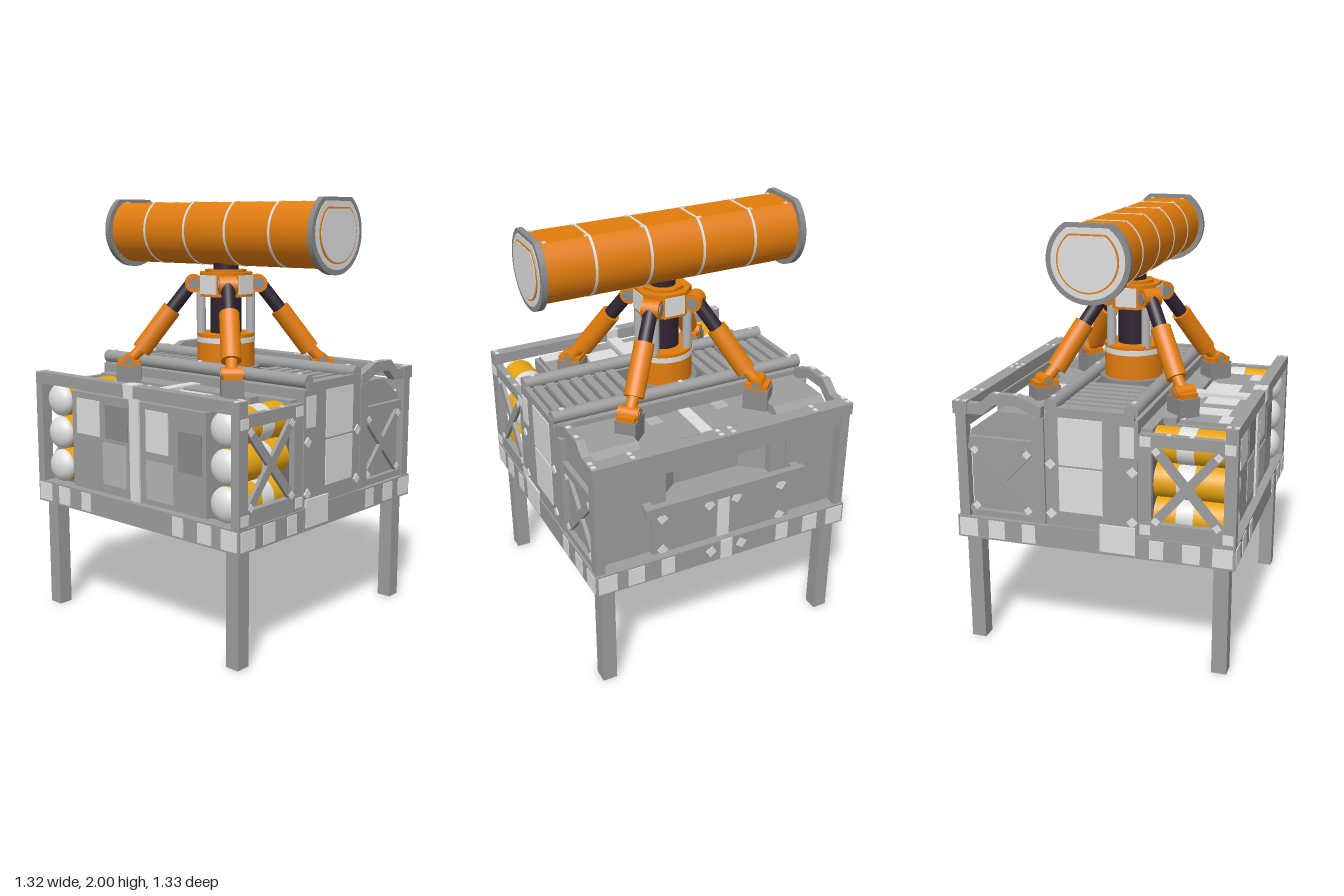
import * as THREE from 'three';
import { toCreasedNormals } from 'three/addons/utils/BufferGeometryUtils.js';

const material = (name, color) => {
  const m = new THREE.MeshStandardMaterial({ color });
  m.name = name;
  return m;
};

export function createModel() {
  const root = new THREE.Group();
  root.name = 'tubeTurretPlatform';
  const grey = material('grey', 0x9d9d9d);
  const midGrey = material('midGrey', 0x8a8a8a);
  const darkGrey = material('darkGrey', 0x6e6e6e);
  const paleGrey = material('paleGrey', 0xb4b4b4);
  const light = material('lightGrey', 0xdedede);
  const orange = material('orange', 0xe27c0c);
  const yellow = material('yellow', 0xe8a512);
  const black = material('nearBlack', 0x2e2430);

  const add = (name, geometry, mat, parent = root) => {
    const mesh = new THREE.Mesh(geometry, mat);
    mesh.name = name;
    parent.add(mesh);
    return mesh;
  };
  // Box from its limits on each axis
  const box = (name, mat, x0, x1, y0, y1, z0, z1) => {
    const mesh = add(name, new THREE.BoxGeometry(Math.abs(x1 - x0), y1 - y0, Math.abs(z1 - z0)), mat);
    mesh.position.set((x0 + x1) / 2, (y0 + y1) / 2, (z0 + z1) / 2);
    return mesh;
  };
  // Cylinder between two points
  const rod = (name, mat, a, b, r, sides = 24) => {
    const dir = b.clone().sub(a);
    const mesh = add(name, new THREE.CylinderGeometry(r, r, dir.length(), sides), mat);
    mesh.position.copy(a).lerp(b, 0.5);
    mesh.quaternion.setFromUnitVectors(new THREE.Vector3(0, 1, 0), dir.normalize());
    return mesh;
  };
  const V = (x, y, z) => new THREE.Vector3(x, y, z);
  const polygon = pts => new THREE.Shape(pts.map(p => new THREE.Vector2(...p)));
  const extrude = (shape, depth) => toCreasedNormals(
    new THREE.ExtrudeGeometry(shape, { depth, bevelEnabled: false, curveSegments: 48 }), 0.5);
  // Profile in x, y extruded from z0 to z1
  const profile = (name, mat, shape, z0, z1) => {
    const mesh = add(name, extrude(shape, z1 - z0), mat);
    mesh.position.z = z0;
    return mesh;
  };

  // Base slab: rim, floor and shallow underside panels
  for (const s of [-1, 1]) {
    box('baseRim', grey, s * 0.585, s * 0.655, 0.53, 0.635, -0.655, 0.655);
    box('baseRim', grey, -0.585, 0.585, 0.53, 0.635, s * 0.585, s * 0.655);
    for (const t of [-1, 1]) {
      box('leg', grey, s * 0.555, s * 0.625, 0, 0.54, t * 0.555, t * 0.625);
      box('undersidePanel', paleGrey, s * 0.035, s * 0.55, 0.54, 0.56, t * 0.035, t * 0.55);
      box('undersidePlate', light, s * 0.12, s * 0.47, 0.535, 0.542, t * 0.12, t * 0.47);
    }
    // Light patches along the rim
    for (const t of [-1, 1]) for (const [a, b] of [[0.27, 0.335], [0.42, 0.5], [0.555, 0.645]]) {
      box('rimPatch', light, s * a, s * b, 0.54, 0.627, t * 0.652, t * 0.659);
      box('rimPatch', light, s * 0.652, s * 0.659, 0.54, 0.627, t * a, t * b);
    }
  }
  box('floor', darkGrey, -0.585, 0.585, 0.55, 0.635, -0.585, 0.585);
  box('undersideBeam', midGrey, -0.02, 0.02, 0.536, 0.56, -0.585, 0.585);
  box('undersideBeam', midGrey, -0.585, 0.585, 0.536, 0.56, -0.02, 0.02);

  // Central spine with slatted deck and round side rails
  box('spine', grey, -0.215, 0.215, 0.6, 1.17, -0.65, 0.65);
  box('deckPanel', darkGrey, -0.16, 0.16, 1.165, 1.174, -0.62, 0.62);
  for (const s of [-1, 1]) {
    box('spineFoot', grey, -0.215, 0.215, 0.532, 0.64, s * 0.6, s * 0.656);
    rod('deckRail', grey, V(s * 0.185, 1.205, -0.65), V(s * 0.185, 1.205, 0.65), 0.031, 16);
    for (let i = 0; i < 7; i++) box('deckSlat', grey, -0.16, 0.16, 1.17, 1.192, s * (0.19 + i * 0.063), s * (0.23 + i * 0.063));
    box('deckEndBar', grey, -0.2, 0.2, 1.165, 1.2, s * 0.63, s * 0.655);
    for (const [x0, x1, y0, y1, z] of [[-0.2, -0.135, 1.0, 1.14, 0.655], [-0.055, 0.15, 0.935, 1.155, 0.655], [-0.055, 0.15, 0.715, 0.925, 0.655], [-0.205, -0.04, 0.545, 0.675, 0.66]])
      box('spinePlate', light, x0, x1, y0, y1, s * (z - 0.009), s * z);
    for (const [x, y] of [[-0.19, 0.935], [0.19, 0.935], [-0.19, 0.7], [0.19, 0.7]]) {
      const bolt = box('spineBolt', light, x - 0.018, x + 0.018, y - 0.018, y + 0.018, s * 0.648, s * 0.656);
      bolt.rotation.z = Math.PI / 4;
    }
    for (const z of [-0.6, 0, 0.6]) box('railBolt', light, s * 0.185 - 0.01, s * 0.185 + 0.01, 1.232, 1.239, z - 0.01, z + 0.01);
  }

  // Diagonal cross brace with bolts at its ends, on the front or back face
  const brace = (x0, x1, y0, y1, z) => {
    const cx = (x0 + x1) / 2, cy = (y0 + y1) / 2;
    const angle = Math.atan2(y1 - y0, x1 - x0), length = Math.hypot(x1 - x0, y1 - y0);
    for (const t of [-1, 1]) {
      const bar = add('crossBrace', new THREE.BoxGeometry(length, 0.04, 0.018), grey);
      bar.position.set(cx, cy, z);
      bar.rotation.z = t * angle;
      for (const u of [-1, 1]) {
        const bolt = add('braceBolt', new THREE.BoxGeometry(0.03, 0.03, 0.024), light);
        bolt.position.set(cx + u * (x1 - x0) * 0.41, cy + t * u * (y1 - y0) * 0.41, z);
        bolt.rotation.z = t * angle;
      }
    }
  };

  // Right bay: storage box between two racks of gas bottles
  box('bayBox', grey, -0.615, -0.21, 0.6, 1.1, -0.435, 0.435);
  box('bayLid', grey, -0.59, -0.34, 1.09, 1.118, -0.42, 0.42);
  box('bayRidge', grey, -0.33, -0.22, 1.09, 1.128, -0.435, 0.435);
  box('rackRidge', grey, -0.27, -0.22, 1.09, 1.128, -0.615, 0.615);
  box('bayTopRail', grey, -0.655, -0.6, 1.12, 1.175, -0.655, 0.655);
  box('strapTop', light, -0.6, -0.21, 1.115, 1.136, -0.03, 0.03);
  box('strapRail', light, -0.66, -0.595, 1.115, 1.18, -0.03, 0.03);
  box('strapSide', light, -0.625, -0.61, 0.635, 1.12, -0.03, 0.03);
  for (const [x0, x1, z0, z1] of [[-0.588, -0.515, -0.415, -0.32], [-0.54, -0.385, -0.31, -0.21], [-0.54, -0.385, -0.14, -0.04], [-0.505, -0.345, 0.05, 0.205], [-0.588, -0.515, 0.315, 0.415]])
    box('lidPatch', light, x0, x1, 1.115, 1.122, z0, z1);
  for (const z of [-0.4, -0.3, -0.17, -0.05, 0.04, 0.22, 0.3, 0.4]) box('lidBolt', light, -0.365, -0.345, 1.115, 1.122, z - 0.01, z + 0.01);
  for (const [y0, y1, z0, z1, m] of [[0.9, 1.07, -0.4, -0.24, light], [0.68, 0.88, -0.22, -0.06, paleGrey], [0.9, 1.06, -0.2, -0.05, midGrey], [0.88, 1.07, 0.07, 0.21, light], [0.66, 0.84, 0.07, 0.24, paleGrey], [0.82, 1.0, 0.27, 0.41, midGrey]])
    box('bayPatch', m, -0.619, -0.612, y0, y1, z0, z1);
  for (const s of [-1, 1]) {
    for (const y of [0.715, 0.878, 1.041]) {
      const z = s * 0.535;
      rod('gasBottle', yellow, V(-0.595, y, z), V(-0.27, y, z), 0.08, 32);
      rod('bottleBand', light, V(-0.455, y, z), V(-0.378, y, z), 0.0825, 32);
      const dome = add('bottleDome', new THREE.SphereGeometry(0.08, 28, 14), light);
      dome.scale.x = 0.65;
      dome.position.set(-0.595, y, z);
    }
    box('rackBack', darkGrey, -0.275, -0.21, 0.62, 1.1, s * 0.43, s * 0.615);
    box('rackPost', grey, -0.655, -0.6, 0.63, 1.125, s * 0.61, s * 0.655);
    box('rackPost', grey, -0.275, -0.215, 0.63, 1.11, s * 0.61, s * 0.645);
    box('rackTopBar', grey, -0.6, -0.22, 1.06, 1.115, s * 0.615, s * 0.648);
    box('rackBottomBar', grey, -0.6, -0.22, 0.635, 0.705, s * 0.615, s * 0.648);
    for (const [x, z] of [[-0.622, 0.659], [-0.248, 0.652]]) for (const y of [0.65, 1.06])
      box('postPatch', light, x - 0.024, x + 0.024, y, y + 0.045, s * (z - 0.009), s * z);
    brace(-0.6, -0.265, 0.68, 1.075, s * 0.637);
  }

  // Left bay: chamfered corner lockers, notched wall and long handrail
  const locker = polygon([[0.21, 0.6], [0.585, 0.6], [0.585, 1.05], [0.45, 1.145], [0.21, 1.145]]);
  const arch = polygon([[0.23, 1.13], [0.27, 1.15], [0.35, 1.185], [0.45, 1.185], [0.51, 1.132], [0.645, 1.132],
    [0.645, 1.182], [0.53, 1.182], [0.47, 1.235], [0.34, 1.235], [0.23, 1.19]]);
  const notch = [[0.21, 0.36], [0.57, 0.36], [0.57, 0.27], [0.53, 0.27], [0.45, 0.17]];
  const wallShape = polygon([...notch, ...notch.map(([x, z]) => [x, -z]).reverse()].reverse());
  const wall = add('notchedWall', extrude(wallShape, 0.26), grey);
  wall.rotation.x = -Math.PI / 2;
  wall.position.y = 0.84;
  box('sidePanel', grey, 0.21, 0.615, 0.6, 0.87, -0.36, 0.36);
  box('sideStrap', light, 0.612, 0.622, 0.54, 0.87, -0.03, 0.03);
  box('rimStrap', light, 0.65, 0.66, 0.535, 0.635, -0.03, 0.03);
  box('topStrap', light, 0.21, 0.45, 1.095, 1.105, -0.03, 0.03);
  box('sideTopRail', grey, 0.585, 0.655, 1.13, 1.188, -0.655, 0.655);
  box('sideLowRail', grey, 0.595, 0.635, 1.068, 1.115, -0.64, 0.64);
  box('handrail', grey, 0.625, 0.658, 0.87, 0.915, -0.41, 0.41);
  for (const s of [-1, 1]) {
    profile('cornerLocker', grey, locker, s > 0 ? 0.35 : -0.62, s > 0 ? 0.62 : -0.35);
    profile('archedRail', grey, arch, s > 0 ? 0.61 : -0.65, s > 0 ? 0.65 : -0.61);
    box('lockerPost', grey, 0.595, 0.645, 0.63, 1.13, s * 0.605, s * 0.65);
    box('lockerPost', grey, 0.22, 0.28, 0.64, 1.14, s * 0.615, s * 0.65);
    box('lockerBar', grey, 0.28, 0.585, 0.985, 1.025, s * 0.615, s * 0.645);
    box('lockerBar', grey, 0.28, 0.585, 0.64, 0.67, s * 0.615, s * 0.645);
    brace(0.28, 0.59, 0.66, 0.99, s * 0.63);
    box('lockerSidePanel', grey, 0.58, 0.592, 0.645, 1.04, s * 0.36, s * 0.6);
    box('handrailBracket', grey, 0.57, 0.64, 0.875, 0.91, s * 0.36, s * 0.4);
    box('deckPatch', paleGrey, 0.22, 0.29, 1.096, 1.104, s * 0.14, s * 0.21);
    for (const [y, z] of [[0.82, 0.31], [0.82, 0.07], [0.65, 0.31], [0.59, 0.08]]) {
      const bolt = box('panelBolt', light, 0.61, y < 0.62 ? 0.66 : 0.619, y - 0.02, y + 0.02, s * z - 0.02, s * z + 0.02);
      bolt.rotation.x = s * 0.6;
    }
    // Small bolts on the outer rails
    for (const z of [0.03, 0.46, 0.64]) for (const x of [0.597, 0.632])
      box('railBolt', light, x - 0.01, x + 0.01, 1.185, 1.192, s * z - 0.01, s * z + 0.01);
    for (const z of [0.03, 0.635]) for (const x of [-0.645, -0.61])
      box('railBolt', light, x - 0.01, x + 0.01, 1.172, 1.179, s * z - 0.01, s * z + 0.01);
    for (const x of [-0.45, -0.35]) box('barBolt', light, x - 0.01, x + 0.01, 1.112, 1.119, s * 0.625, s * 0.645);
    for (const x of [0.35, 0.44]) box('archBolt', light, x - 0.01, x + 0.01, 1.232, 1.239, s * 0.625, s * 0.645);
  }

  // Turret pedestal and lifting column
  const disc = (name, mat, r, y0, y1, sides = 32) => rod(name, mat, V(0, y0, 0), V(0, y1, 0), r, sides);
  disc('pedestalFoot', midGrey, 0.165, 1.165, 1.2);
  disc('pedestal', orange, 0.14, 1.19, 1.36);
  disc('pedestalBand', light, 0.1425, 1.318, 1.343);
  disc('column', black, 0.075, 1.35, 1.56);
  for (const sx of [-1, 1]) for (const sz of [-1, 1])
    rod('guideRod', paleGrey, V(sx * 0.085, 1.35, sz * 0.085), V(sx * 0.085, 1.56, sz * 0.085), 0.022, 16);
  const head = add('turretHead', new THREE.CylinderGeometry(0.135, 0.135, 0.115, 8).rotateY(Math.PI / 8), orange);
  head.position.y = 1.595;
  disc('headCap', orange, 0.1, 1.65, 1.665, 8);
  for (const s of [-1, 1]) {
    box('headPlate', light, -0.05, 0.05, 1.55, 1.64, s * 0.122, s * 0.129);
    box('headPlate', light, s * 0.122, s * 0.129, 1.55, 1.64, -0.05, 0.05);
  }
  disc('neck', black, 0.06, 1.655, 1.71);

  // Four diagonal support struts
  for (const sx of [-1, 1]) for (const sz of [-1, 1]) {
    const at = (d, y) => V(sx * d, y, sz * d);
    const turn = Math.atan2(sx, sz);
    // Pin lying across the strut
    const cross = (name, mat, d, y, half, r) => {
      const side = V(Math.cos(turn) * half, 0, -Math.sin(turn) * half);
      rod(name, mat, at(d, y).sub(side), at(d, y).add(side), r, 16);
    };
    rod('strutPiston', black, at(0.115, 1.6), at(0.21, 1.43), 0.033);
    rod('strutSleeve', orange, at(0.185, 1.475), at(0.292, 1.275), 0.047);
    rod('strutTip', orange, at(0.29, 1.285), at(0.335, 1.22), 0.027);
    cross('strutPin', orange, 0.335, 1.225, 0.05, 0.03);
    cross('strutPinBolt', midGrey, 0.335, 1.225, 0.054, 0.018);
    cross('strutLug', orange, 0.11, 1.598, 0.042, 0.043);
    cross('strutLugBolt', midGrey, 0.11, 1.598, 0.047, 0.027);
    const pad = add('strutPad', new THREE.BoxGeometry(0.1, 0.13, 0.12), midGrey);
    pad.position.copy(at(0.335, 1.14));
    pad.rotation.y = turn;
    const clevis = add('strutClevis', new THREE.BoxGeometry(0.085, 0.025, 0.11), orange);
    clevis.position.copy(at(0.335, 1.215));
    clevis.rotation.y = turn;
  }

  // Main tube: round section cut flat along the top
  const section = (r, h) => {
    const a = Math.asin(h / r), shape = new THREE.Shape();
    shape.absarc(0, 0, r, Math.PI - a, Math.PI * 2 + a, false);
    shape.closePath();
    return shape;
  };
  const slice = (name, mat, r, h, z0, z1) => {
    profile(name, mat, section(r, h), z0, z1).position.y = 1.846;
  };
  slice('mainTube', orange, 0.161, 0.136, -0.635, 0.635);
  for (const z of [-0.395, -0.13, 0.13, 0.395]) slice('tubeBand', light, 0.1635, 0.1385, z - 0.006, z + 0.006);
  for (const s of [-1, 1]) {
    const between = (name, mat, r, h, a, b) => slice(name, mat, r, h, Math.min(s * a, s * b), Math.max(s * a, s * b));
    between('endCollar', midGrey, 0.186, 0.154, 0.627, 0.655);
    between('endFace', light, 0.163, 0.137, 0.64, 0.658);
    between('endRing', orange, 0.137, 0.111, 0.65, 0.662);
    between('endCap', light, 0.13, 0.104, 0.656, 0.665);
    for (const x of [-0.08, 0.08]) for (const z of [0.143, 0.408, 0.6])
      box('tubeBolt', light, x - 0.008, x + 0.008, 1.979, 1.986, s * z - 0.008, s * z + 0.008);
  }
  return root;
}
